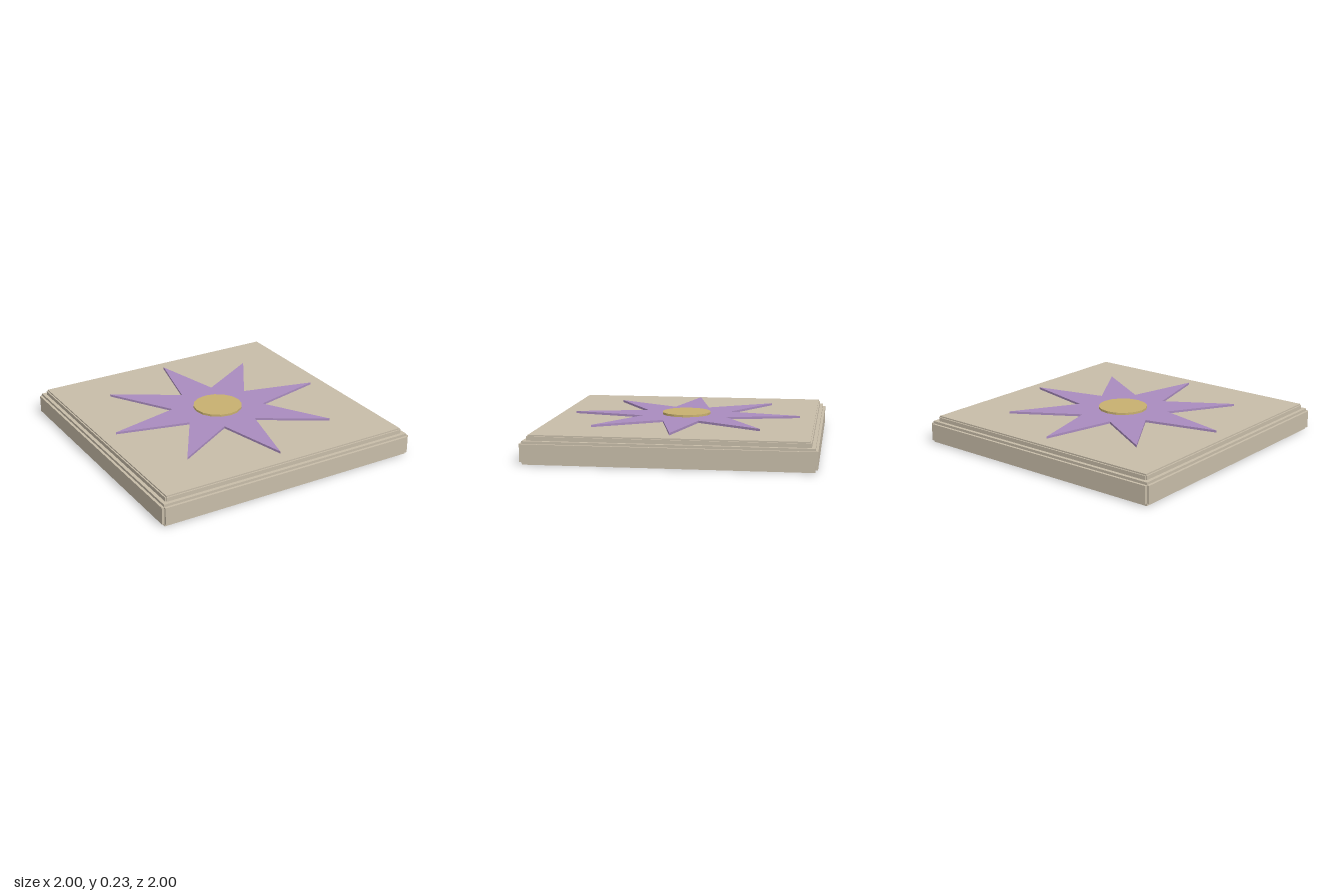
import * as THREE from 'three';

const stone = new THREE.MeshStandardMaterial({ color: 0xc8bda9 });
stone.name = 'stone';
const violet = new THREE.MeshStandardMaterial({ color: 0xaa8cbf });
violet.name = 'violet';
const gold = new THREE.MeshStandardMaterial({ color: 0xc8b070 });
gold.name = 'gold';

// Slab with stepped edges: three crossing boxes, each full size along one axis
function steppedSlab(name, half, y0, y1, step) {
  const slab = new THREE.Group();
  slab.name = name;
  const size = [half * 2, y1 - y0, half * 2];
  ['Width', 'Height', 'Depth'].forEach((label, axis) => {
    // Two axes stay full when the box is the vertical core's complement
    const dims = size.map((s, i) => (i === axis ? s : s - step * 2));
    const mesh = new THREE.Mesh(new THREE.BoxGeometry(...dims), stone);
    mesh.name = name + label;
    mesh.position.y = (y0 + y1) / 2;
    slab.add(mesh);
  });
  return slab;
}

// Eight-pointed star outline, one point along each axis and diagonal
function starShape(points, outer, inner) {
  const corners = [];
  for (let i = 0; i < points * 2; i++) {
    const a = (i * Math.PI) / points;
    const r = i % 2 ? inner : outer;
    corners.push(new THREE.Vector2(Math.cos(a) * r, Math.sin(a) * r));
  }
  return new THREE.Shape(corners);
}

export function createModel() {
  const model = new THREE.Group();
  model.name = 'starTile';

  // Base and raised panel
  model.add(steppedSlab('base', 1, 0, 0.16, 0.018));
  model.add(steppedSlab('panel', 0.957, 0.15, 0.198, 0.01));

  // Star inlay
  const starGeometry = new THREE.ExtrudeGeometry(starShape(8, 0.836, 0.336), {
    depth: 0.016,
    bevelEnabled: false,
  });
  starGeometry.rotateX(-Math.PI / 2);
  const star = new THREE.Mesh(starGeometry, violet);
  star.name = 'star';
  star.position.y = 0.198;
  model.add(star);

  // Central boss
  const discGeometry = new THREE.CylinderGeometry(0.179, 0.179, 0.022, 16).toNonIndexed();
  discGeometry.computeVertexNormals();
  const disc = new THREE.Mesh(discGeometry, gold);
  disc.name = 'centreDisc';
  disc.position.y = 0.219;
  model.add(disc);

  return model;
}
